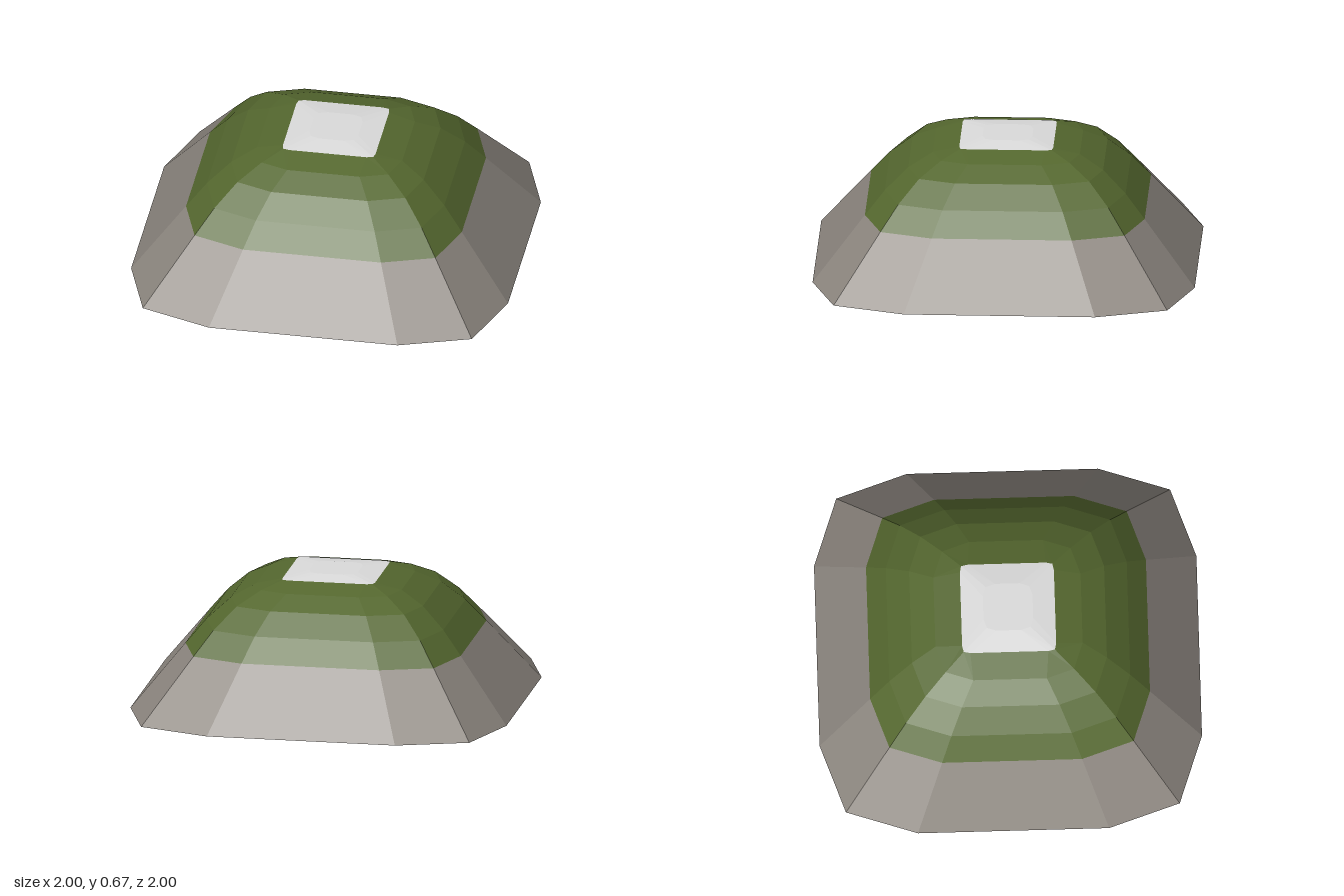
import * as THREE from 'three';

// Twelve-sided ring: half width r at height y; side and corner are fractions of r
function ring([r, y, side = 0.5, corner = 0.873]) {
  const pts = [];
  for (let q = 0; q < 4; q++) {
    const c = [1, 0, -1, 0][q], s = [0, 1, 0, -1][q];
    for (const [a, b] of [[1, -side], [1, side], [corner, corner]]) {
      pts.push([r * (a * c - b * s), y, r * (a * s + b * c)]);
    }
  }
  return pts;
}

// Skin a run of rings from the lowest to the highest, with an optional flat cap
function band(name, material, rows, capped = false) {
  const pos = [];
  const rings = rows.map(ring);
  for (let k = 0; k + 1 < rings.length; k++) {
    for (let i = 0; i < 12; i++) {
      const j = (i + 1) % 12;
      const a = rings[k][i], b = rings[k][j], c = rings[k + 1][j], d = rings[k + 1][i];
      pos.push(...a, ...d, ...c, ...a, ...c, ...b);
    }
  }
  if (capped) {
    const top = rings[rings.length - 1], y = rows[rows.length - 1][1];
    for (let i = 0; i < 12; i++) pos.push(0, y, 0, ...top[(i + 1) % 12], ...top[i]);
  }
  const g = new THREE.BufferGeometry();
  g.setAttribute('position', new THREE.Float32BufferAttribute(pos, 3));
  g.computeVertexNormals();
  const mesh = new THREE.Mesh(g, material);
  mesh.name = name;
  return mesh;
}

function mat(name, color) {
  return new THREE.MeshStandardMaterial({ name, color, flatShading: true, side: THREE.DoubleSide });
}

export function createModel() {
  const group = new THREE.Group();
  group.name = 'hill';
  const cut = [0.246, 0.66, 0.83, 0.97]; // nearly square edge of the summit patch

  // Bare rock skirt, open underneath
  group.add(band('rockSlope', mat('rock grey', 0x8c867f), [[1, 0], [0.732, 0.33]]));
  // Grassy rounded shoulder
  group.add(band('grassSlope', mat('grass green', 0x55682f),
    [[0.732, 0.33], [0.63, 0.452], [0.51, 0.56], [0.385, 0.625], cut]));
  // Pale flat summit
  group.add(band('summit', mat('summit white', 0xdcdcdc), [cut, [0.13, 0.674]], true));
  return group;
}
